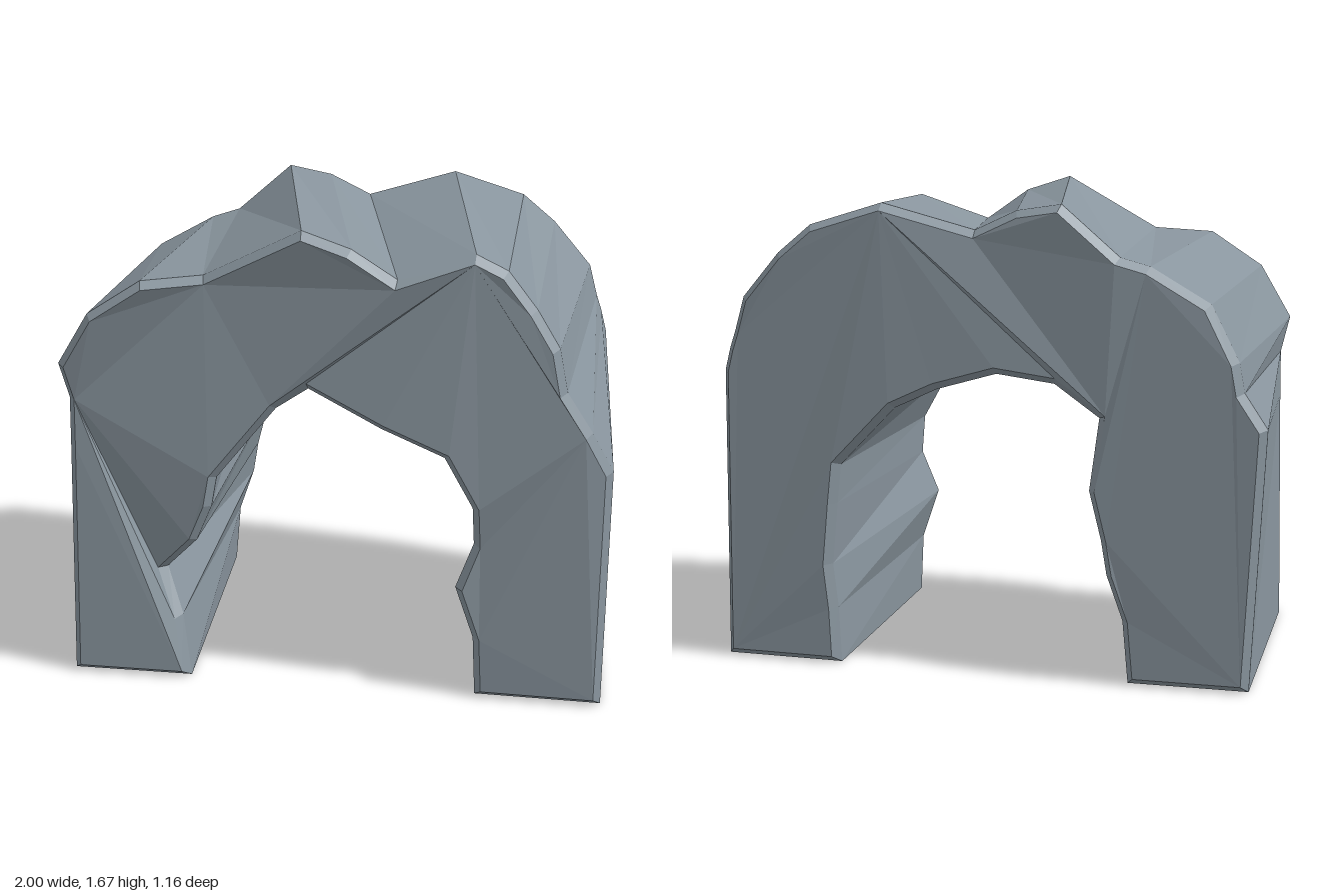
import * as THREE from 'three';

// Outline of the arch on its front edge: x, y, z, running up the outside on the left and back along the opening
const FRONT = [
  [0.985, 0, 0.54], [0.995, 0.86, 0.5], [0.92, 1.0, 0.51], [0.83, 1.14, 0.51], [0.8, 1.29, 0.5], [0.72, 1.42, 0.49],
  [0.62, 1.55, 0.49], [0.51, 1.6, 0.48], [0.25, 1.51, 0.51], [0.1, 1.62, 0.55], [-0.07, 1.675, 0.54],
  [-0.42, 1.49, 0.48], [-0.63, 1.475, 0.53], [-0.82, 1.35, 0.53], [-0.935, 1.16, 0.51], [-0.905, 1.03, 0.49],
  [-0.905, 0.86, 0.5], [-0.915, 0, 0.53],
  [-0.485, 0, 0.53], [-0.52, 0.22, 0.49], [-0.585, 0.38, 0.43], [-0.46, 0.52, 0.5], [-0.4, 0.66, 0.52],
  [-0.38, 0.77, 0.52], [-0.17, 1.03, 0.5], [-0.06, 1.1, 0.48], [0.2, 0.98, 0.52], [0.42, 0.89, 0.53],
  [0.52, 0.71, 0.53], [0.525, 0.57, 0.51], [0.465, 0.41, 0.53], [0.53, 0.22, 0.53], [0.54, 0, 0.53],
];

// Matching outline on the back edge
const BACK = [
  [0.94, 0, -0.52], [0.93, 1.04, -0.53], [0.91, 1.12, -0.53], [0.89, 1.18, -0.53], [0.86, 1.3, -0.52], [0.72, 1.46, -0.54],
  [0.6, 1.56, -0.54], [0.34, 1.64, -0.54], [0.02, 1.55, -0.5], [-0.13, 1.62, -0.51], [-0.29, 1.645, -0.53],
  [-0.49, 1.47, -0.52], [-0.59, 1.44, -0.5], [-0.8, 1.32, -0.51], [-0.9, 1.13, -0.53], [-0.92, 1.03, -0.54],
  [-1.0, 0.91, -0.54], [-0.95, 0, -0.53],
  [-0.53, 0, -0.53], [-0.51, 0.22, -0.53], [-0.455, 0.38, -0.54], [-0.435, 0.5, -0.54], [-0.39, 0.67, -0.53],
  [-0.42, 0.92, -0.51], [-0.26, 1.03, -0.5], [-0.06, 1.06, -0.52], [0.15, 1.0, -0.53], [0.3, 0.93, -0.54],
  [0.5, 0.72, -0.54], [0.515, 0.58, -0.54], [0.535, 0.36, -0.54], [0.52, 0.2, -0.53], [0.51, 0, -0.53],
];

// Shrinks an outline towards the stone and pushes it outwards in z, giving the inner edge of the bevel
function bevelRing(ring, inset, dz) {
  const n = ring.length;
  return ring.map(([x, y, z], i) => {
    const p = ring[(i + n - 1) % n], q = ring[(i + 1) % n];
    const a = new THREE.Vector2(p[1] - y, x - p[0]).normalize();
    const b = new THREE.Vector2(y - q[1], q[0] - x).normalize();
    const m = a.clone().add(b).normalize();
    const d = inset / Math.max(0.65, m.dot(a));
    return [x + m.x * d, y + m.y * d, z + dz];
  });
}

// Joins two outlines with a band of quads
function addBand(out, near, far) {
  for (let i = 0; i < near.length; i++) {
    const j = (i + 1) % near.length;
    out.push(near[i], far[i], far[j], near[i], far[j], near[j]);
  }
}

// Closes an outline with three faceted regions, divided by creases a-b and c-d
function addFace(out, ring, [a, b, c, d], flip) {
  const range = (s, e) => Array.from({ length: e - s + 1 }, (_, k) => s + k);
  const regions = [
    [...range(0, a), ...range(b, ring.length - 1)],
    [...range(a, c), ...range(d, b)],
    range(c, d),
  ];
  for (const region of regions) {
    const contour = region.map((i) => new THREE.Vector2(ring[i][0], ring[i][1]));
    for (const tri of THREE.ShapeUtils.triangulateShape(contour, [])) {
      const pts = tri.map((t) => ring[region[t]]);
      // keep every facet facing outwards
      const area = (pts[1][0] - pts[0][0]) * (pts[2][1] - pts[0][1]) - (pts[2][0] - pts[0][0]) * (pts[1][1] - pts[0][1]);
      if ((area < 0) !== flip) pts.reverse();
      out.push(...pts);
    }
  }
}

export function createModel() {
  const group = new THREE.Group();
  group.name = 'rockArch';
  const stone = new THREE.MeshStandardMaterial({ color: 0x89959e, flatShading: true });
  stone.name = 'slate grey stone';

  const frontFace = bevelRing(FRONT, 0.025, 0.035);
  const backFace = bevelRing(BACK, 0.025, -0.038);

  const addPart = (name, build) => {
    const points = [];
    build(points);
    const geometry = new THREE.BufferGeometry();
    geometry.setAttribute('position', new THREE.Float32BufferAttribute(points.flat(), 3));
    geometry.computeVertexNormals();
    const mesh = new THREE.Mesh(geometry, stone);
    mesh.name = name;
    group.add(mesh);
  };

  // Outer shell, opening and soles of both legs
  addPart('archBody', (p) => addBand(p, FRONT, BACK));
  // Narrow chipped edges
  addPart('frontBevel', (p) => addBand(p, frontFace, FRONT));
  addPart('backBevel', (p) => addBand(p, BACK, backFace));
  // Faceted rock faces
  addPart('frontFace', (p) => addFace(p, frontFace, [7, 25, 15, 20], false));
  addPart('backFace', (p) => addFace(p, backFace, [7, 24, 12, 22], true));

  return group;
}
